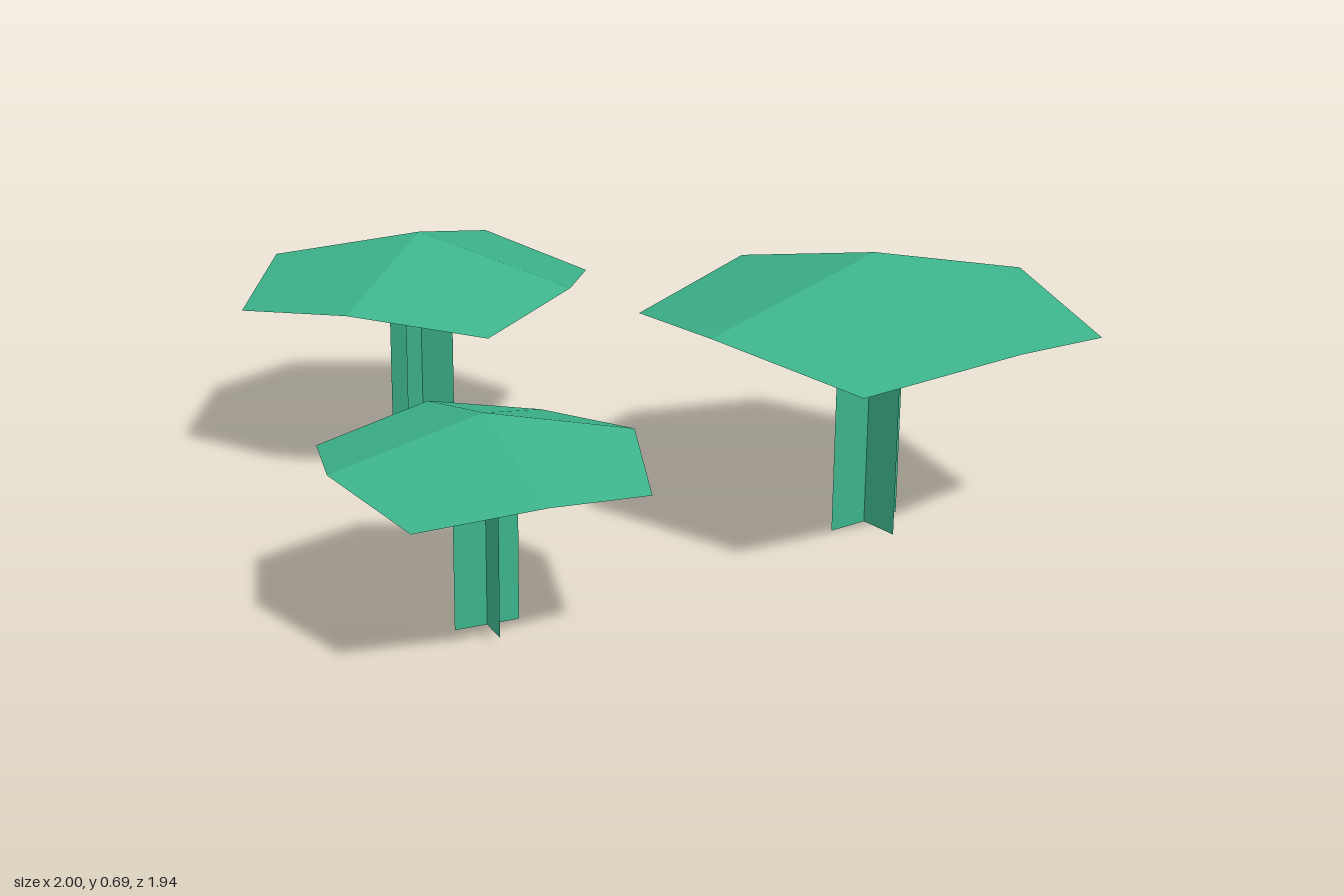
import * as THREE from 'three';

const leafGreen = new THREE.MeshStandardMaterial({ color: 0x3cb28a, side: THREE.DoubleSide });
leafGreen.name = 'leafGreen';

// Four bent quads falling from the apex; each quad keeps its own normals so the ridges stay sharp.
function canopyGeometry() {
  const apex = [0, 0.685, 0];
  const r = 0.49, ridgeY = 0.563, cornerY = 0.508;
  const ridges = [[r, ridgeY, 0], [0, ridgeY, r], [-r, ridgeY, 0], [0, ridgeY, -r]];
  const corners = [[0.39, 0.375], [-0.39, 0.4], [-0.415, -0.355], [0.395, -0.365]];
  const positions = [], index = [];
  for (let i = 0; i < 4; i++) {
    const [x, z] = corners[i];
    const b = i * 4;
    positions.push(...apex, ...ridges[(i + 1) % 4], x, cornerY, z, ...ridges[i]);
    index.push(b, b + 1, b + 2, b, b + 2, b + 3);
  }
  const geometry = new THREE.BufferGeometry();
  geometry.setAttribute('position', new THREE.Float32BufferAttribute(positions, 3));
  geometry.setIndex(index);
  geometry.computeVertexNormals();
  return geometry;
}

const STEM_WIDTH = 0.21, STEM_HEIGHT = 0.655;

function createTree(name, canopy, blade, { x, y, z, scale, turn }) {
  const tree = new THREE.Group();
  tree.name = name;

  const crown = new THREE.Mesh(canopy, leafGreen);
  crown.name = 'canopy';
  tree.add(crown);

  // Stem of two crossed flat blades
  const stem = new THREE.Group();
  stem.name = 'stem';
  for (let i = 0; i < 2; i++) {
    const mesh = new THREE.Mesh(blade, leafGreen);
    mesh.name = 'stemBlade';
    mesh.rotation.y = i * Math.PI / 2;
    stem.add(mesh);
  }
  tree.add(stem);

  tree.position.set(x, y, z);
  tree.rotation.y = turn;
  tree.scale.setScalar(scale);
  return tree;
}

export function createModel() {
  const model = new THREE.Group();
  model.name = 'treeCluster';
  const canopy = canopyGeometry();
  const blade = new THREE.PlaneGeometry(STEM_WIDTH, STEM_HEIGHT).translate(0, STEM_HEIGHT / 2, 0);

  model.add(
    createTree('largeTree', canopy, blade, { x: 0.508, y: 0, z: -0.485, scale: 1, turn: 0 }),
    createTree('mediumTree', canopy, blade, { x: -0.542, y: 0.012, z: 0.125, scale: 0.853, turn: 0.569 }),
    createTree('smallTree', canopy, blade, { x: 0.506, y: 0.02, z: 0.62, scale: 0.722, turn: -0.21 })
  );
  return model;
}
